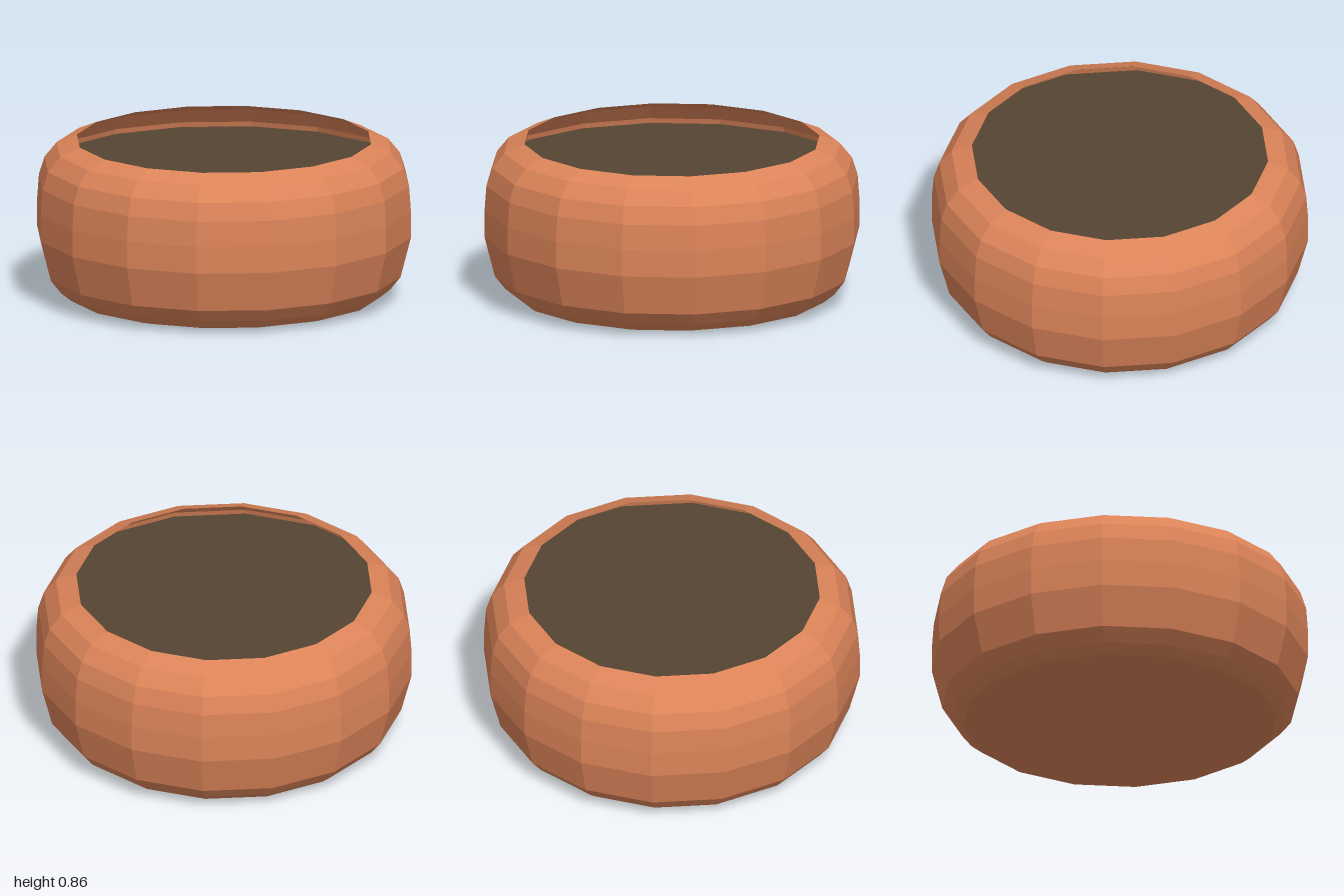
import * as THREE from 'three';

const SIDES = 16;

export function createModel() {
  const group = new THREE.Group();
  group.name = 'planterBowl';

  // Faceted thin-walled clay bowl: flat base, bulging wall, inward-curving rim
  const profile = [
    [0, 0], [0.74, 0], [0.835, 0.025], [0.89, 0.07], [0.945, 0.14],
    [1, 0.355], [1, 0.5], [0.99, 0.635], [0.96, 0.73], [0.895, 0.81],
    [0.787, 0.855],
  ].map(([r, y]) => new THREE.Vector2(r, y));
  const bowl = new THREE.Mesh(
    new THREE.LatheGeometry(profile, SIDES),
    new THREE.MeshStandardMaterial({ color: 0xdc8459, flatShading: true, side: THREE.DoubleSide })
  );
  bowl.name = 'bowl';
  group.add(bowl);

  // Flat soil surface reaching the wall under the overhanging rim
  const soil = new THREE.Mesh(
    new THREE.CircleGeometry(0.965, SIDES).rotateX(-Math.PI / 2),
    new THREE.MeshStandardMaterial({ color: 0x544432, flatShading: true })
  );
  soil.name = 'soil';
  soil.position.y = 0.703;
  group.add(soil);

  return group;
}
